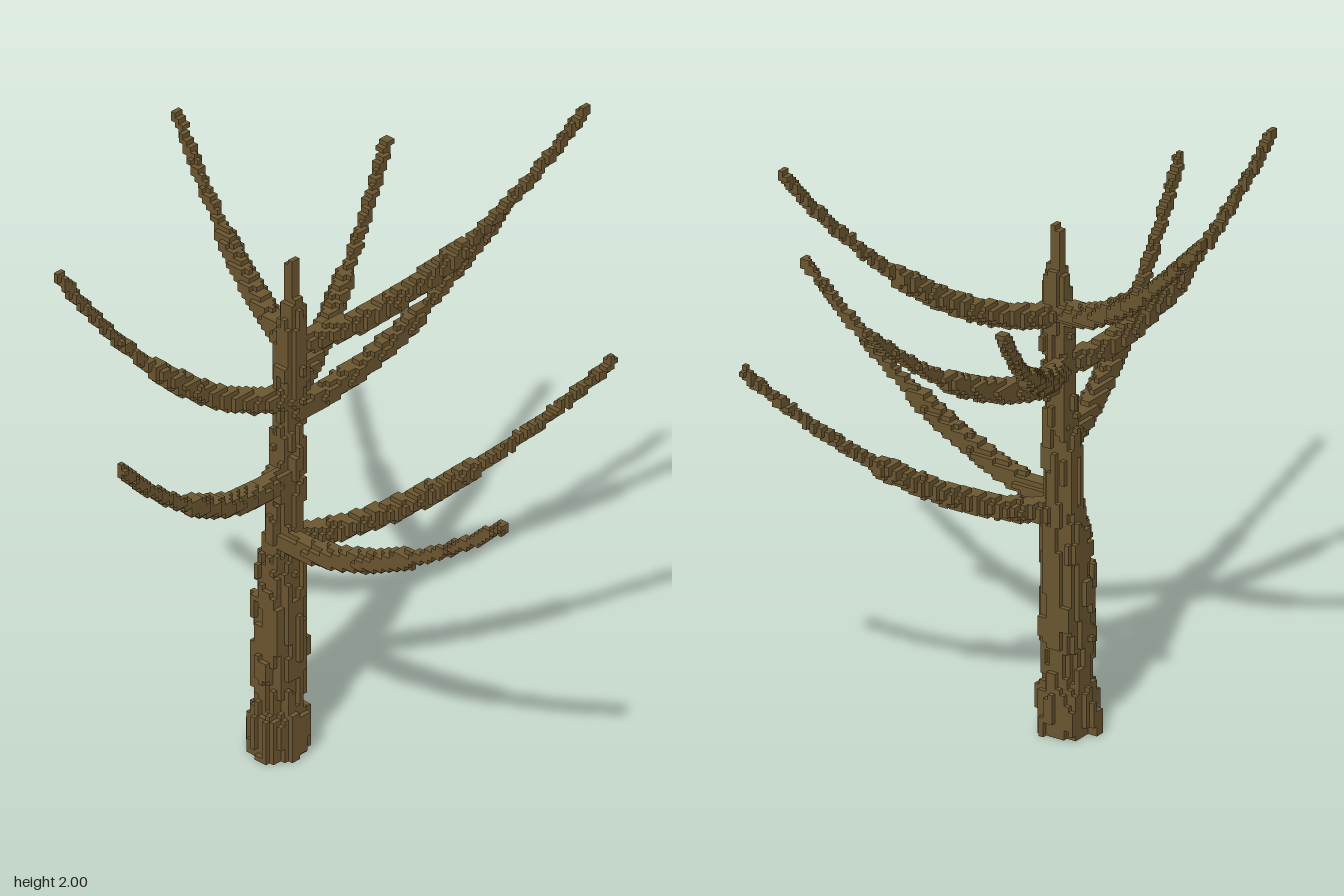
import * as THREE from 'three';

const V = 1 / 64; // edge of one cube

// seeded value in 0..1 for a pair of integers
function noise(a, b) {
  let h = Math.imul(a + 101, 374761393) ^ Math.imul(b + 57, 668265263);
  h = Math.imul(h ^ (h >>> 13), 1274126177);
  return ((h ^ (h >>> 16)) >>> 0) / 4294967296;
}

// trunk profile: height, centre x, radius
const TRUNK = [
  [0, 0.015, 0.083], [0.13, 0.015, 0.083], [0.16, 0.018, 0.064], [0.26, 0.018, 0.064],
  [0.3, 0.018, 0.07], [0.6, 0.025, 0.067], [0.7, 0.035, 0.053], [0.9, 0.038, 0.05],
  [1.0, 0.05, 0.042], [1.1, 0.06, 0.036], [1.35, 0.068, 0.042], [1.49, 0.076, 0.032],
  [1.51, 0.078, 0.018], [1.65, 0.078, 0.016],
];
const TRUNK_Z = -0.181;

// branches: base [x, y], tip [x, y, z], and how sharply they sweep upward
const BRANCHES = [
  { base: [0.08, 1.355], tip: [0.865, 1.985, 0.242], bend: 1.85 },
  { base: [0.07, 1.36], tip: [0.235, 1.8, -0.803], bend: 1.7 },
  { base: [0.05, 1.18], tip: [-0.595, 1.75, -0.475], bend: 2.0 },
  { base: [0.04, 0.925], tip: [-0.865, 1.43, 0.04], bend: 1.9 },
  { base: [0.02, 0.72], tip: [-0.058, 1.21, 0.803], bend: 1.75 },
  { base: [0.04, 0.71], tip: [0.765, 1.26, 0.445], bend: 1.8 },
  { base: [0.06, 1.18], tip: [0.765, 1.615, -0.47], bend: 1.8 },
  { base: [0.06, 1.135], tip: [0.855, 1.55, -0.055], bend: 1.85 },
];

const key = (i, j, k) => i + ',' + j + ',' + k;

function trunkCells(add) {
  for (let j = 0; j < 105; j++) {
    const y = (j + 0.5) * V;
    let n = 0;
    while (n < TRUNK.length - 2 && TRUNK[n + 1][0] < y) n++;
    const a = TRUNK[n], b = TRUNK[n + 1];
    const t = (y - a[0]) / (b[0] - a[0]);
    const cx = a[1] + (b[1] - a[1]) * t, r = a[2] + (b[2] - a[2]) * t;
    for (let i = -8; i < 10; i++) {
      for (let k = -20; k < -2; k++) {
        const dx = (i + 0.5) * V - cx, dz = (k + 0.5) * V - TRUNK_Z;
        // ragged bark: upright strips of differing depth
        const strip = Math.floor((Math.atan2(dz, dx) / Math.PI + 1) * 10);
        const block = Math.floor((j + noise(strip, 900) * 9) / 5);
        const bark = y < 1.3 ? (noise(strip, block) - 0.4) * 0.022 : 0;
        if (Math.hypot(dx, dz) < r + bark) add(i, j, k);
      }
    }
  }
}

function branchCells({ base, tip, bend }, add) {
  const steps = 160;
  for (let s = 0; s <= steps; s++) {
    const t = s / steps;
    const x = base[0] + (tip[0] - base[0]) * t;
    const y = base[1] + (tip[1] - base[1]) * Math.pow(t, bend);
    const z = TRUNK_Z + (tip[2] - TRUNK_Z) * t;
    // thick inner limb, thin outer twig
    const r = t < 0.57 ? 0.035 - 0.01 * t : 0.0185 - 0.003 * t;
    const c = [x, y, z].map((v) => Math.floor(v / V));
    add(...c);
    for (let i = c[0] - 3; i <= c[0] + 3; i++)
      for (let j = c[1] - 3; j <= c[1] + 3; j++)
        for (let k = c[2] - 3; k <= c[2] + 3; k++)
          if (Math.hypot((i + 0.5) * V - x, (j + 0.5) * V - y, (k + 0.5) * V - z) < r) add(i, j, k);
  }
}

// outer faces of a set of cubes
function cubesGeometry(cells, filled) {
  const pos = [], nor = [], idx = [];
  for (const c of cells) {
    for (let axis = 0; axis < 3; axis++) {
      for (const side of [-1, 1]) {
        const next = c.slice();
        next[axis] += side;
        if (filled.has(key(...next))) continue;
        const u = (axis + 1) % 3, w = (axis + 2) % 3, start = pos.length / 3;
        for (const [p, q] of [[0, 0], [1, 0], [1, 1], [0, 1]]) {
          const v = c.slice(), n = [0, 0, 0];
          v[axis] += side > 0 ? 1 : 0;
          v[u] += p;
          v[w] += q;
          n[axis] = side;
          pos.push(v[0] * V, v[1] * V, v[2] * V);
          nor.push(...n);
        }
        const order = side > 0 ? [0, 1, 2, 0, 2, 3] : [0, 2, 1, 0, 3, 2];
        idx.push(...order.map((o) => start + o));
      }
    }
  }
  const g = new THREE.BufferGeometry();
  g.setAttribute('position', new THREE.Float32BufferAttribute(pos, 3));
  g.setAttribute('normal', new THREE.Float32BufferAttribute(nor, 3));
  g.setIndex(idx);
  return g;
}

export function createModel() {
  const group = new THREE.Group();
  group.name = 'bareTree';
  const bark = new THREE.MeshStandardMaterial({ color: 0x6b5630 });
  bark.name = 'bark';

  // each cube belongs to the first part that claims it
  const filled = new Set();
  const parts = [];
  const collect = (name, fill) => {
    const cells = [];
    fill((i, j, k) => {
      const id = key(i, j, k);
      if (filled.has(id)) return;
      filled.add(id);
      cells.push([i, j, k]);
    });
    parts.push({ name, cells });
  };
  collect('trunk', trunkCells);
  BRANCHES.forEach((b, n) => collect('branch' + (n + 1), (add) => branchCells(b, add)));

  for (const { name, cells } of parts) {
    const mesh = new THREE.Mesh(cubesGeometry(cells, filled), bark);
    mesh.name = name;
    group.add(mesh);
  }
  return group;
}
